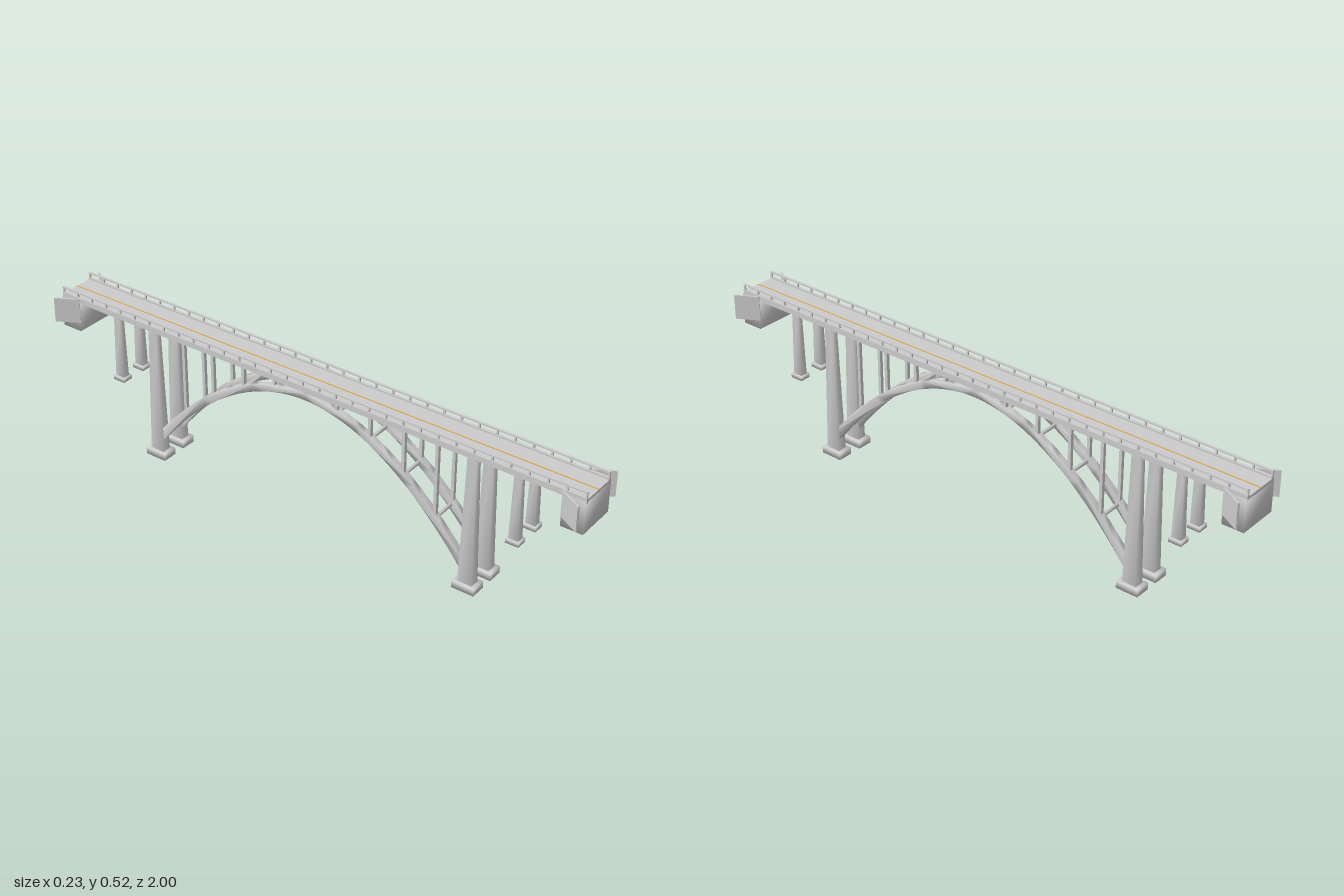
import * as THREE from 'three';
import { mergeVertices } from 'three/addons/utils/BufferGeometryUtils.js';

const grey = new THREE.MeshStandardMaterial({ color: 0xcccccc });
const yellow = new THREE.MeshStandardMaterial({ color: 0xd9a441 });
const DECK_BOTTOM = 0.487;
const RIB_X = 0.048;

// Share corners so that shading flows softly round the edges
function soften(geometry) {
  geometry.deleteAttribute('normal');
  geometry.deleteAttribute('uv');
  const welded = mergeVertices(geometry);
  welded.computeVertexNormals();
  return welded;
}

function add(parent, name, geometry, x = 0, y = 0, z = 0, material = grey) {
  const mesh = new THREE.Mesh(geometry, material);
  mesh.name = name;
  mesh.position.set(x, y, z);
  parent.add(mesh);
  return mesh;
}

// Box given by its bottom and top heights
function block(parent, name, w, d, y0, y1, x, z, soft = false, material = grey) {
  const g = new THREE.BoxGeometry(w, y1 - y0, d);
  return add(parent, name, soft ? soften(g) : g, x, (y0 + y1) / 2, z, material);
}

// Four-sided shaft narrowing towards the top
function taperedShaft(parent, name, bottom, top, y0, y1, x, z) {
  const g = new THREE.BoxGeometry(1, y1 - y0, 1);
  const p = g.attributes.position;
  for (let i = 0; i < p.count; i++) {
    const [w, d] = p.getY(i) > 0 ? top : bottom;
    p.setX(i, p.getX(i) * w);
    p.setZ(i, p.getZ(i) * d);
  }
  add(parent, name, soften(g), x, (y0 + y1) / 2, z);
}

const archY = (z) => 0.46 - 1.05 * z * z;

// Parabolic rib, a little deeper at the springings
function archRibGeometry() {
  const upper = [], lower = [], n = 48, end = 0.605;
  for (let i = 0; i <= n; i++) {
    const z = -end + (2 * end * i) / n;
    const slope = -2.1 * z;
    const len = Math.hypot(1, slope);
    const half = 0.011 + 0.004 * Math.abs(z / end);
    const nx = -slope / len, ny = 1 / len;
    upper.push(new THREE.Vector2(z + nx * half, archY(z) + ny * half));
    lower.push(new THREE.Vector2(z - nx * half, archY(z) - ny * half));
  }
  const width = 0.02;
  const g = new THREE.ExtrudeGeometry(new THREE.Shape([...upper, ...lower.reverse()]),
    { depth: width, bevelEnabled: false });
  g.translate(0, 0, -width / 2);
  g.rotateY(-Math.PI / 2);
  return soften(g);
}

function buildDeck() {
  const deck = new THREE.Group();
  deck.name = 'deck';
  block(deck, 'roadSlab', 0.132, 2, DECK_BOTTOM, 0.497, 0, 0);
  block(deck, 'centreLine', 0.004, 2, 0.497, 0.4978, 0, 0, false, yellow);
  for (const s of [-1, 1]) {
    block(deck, 'edgeBeam', 0.009, 2, 0.483, 0.503, s * 0.063, 0);
    block(deck, 'topRail', 0.008, 2, 0.518, 0.523, s * 0.063, 0);
    // Railing posts
    const posts = 33;
    for (let i = 0; i < posts; i++) {
      const z = -0.997 + (1.994 * i) / (posts - 1);
      block(deck, 'railPost', 0.005, 0.006, 0.502, 0.519, s * 0.063, z);
    }
  }
  return deck;
}

function buildArch() {
  const arch = new THREE.Group();
  arch.name = 'arch';
  const rib = archRibGeometry();
  for (const s of [-1, 1]) add(arch, 'archRib', rib, s * RIB_X);
  // Spandrel columns with struts between the ribs and floor beams above
  for (const a of [0.12, 0.245, 0.37, 0.49]) {
    for (const z of [-a, a]) {
      for (const s of [-1, 1]) {
        block(arch, 'spandrelColumn', 0.012, 0.011, archY(z), DECK_BOTTOM, s * RIB_X, z);
      }
      block(arch, 'ribStrut', RIB_X * 2, 0.009, archY(z) - 0.004, archY(z) + 0.005, 0, z, true);
      block(arch, 'floorBeam', 0.118, 0.011, 0.477, DECK_BOTTOM + 0.001, 0, z);
    }
  }
  return arch;
}

// Piers and abutment at one end of the bridge
function buildEnd(dir) {
  const end = new THREE.Group();
  end.name = dir > 0 ? 'frontSupports' : 'backSupports';
  for (const s of [-1, 1]) {
    block(end, 'mainFooting', 0.055, 0.08, 0, 0.025, s * RIB_X, dir * 0.615, true);
    taperedShaft(end, 'mainPier', [0.033, 0.052], [0.022, 0.032], 0.024, DECK_BOTTOM,
      s * RIB_X, dir * 0.615);
    block(end, 'approachFooting', 0.039, 0.046, 0.24, 0.255, s * RIB_X, dir * 0.77, true);
    taperedShaft(end, 'approachPier', [0.025, 0.034], [0.02, 0.024], 0.254, DECK_BOTTOM,
      s * RIB_X, dir * 0.77);
    // Thin wing wall flaring outwards
    const wing = block(end, 'wingWall', 0.006, 0.086, 0.412, 0.5, s * 0.09, dir * 0.962);
    wing.rotation.y = s * dir * Math.atan2(0.042, 0.074);
  }
  block(end, 'mainPierCap', 0.122, 0.03, 0.473, DECK_BOTTOM + 0.001, 0, dir * 0.615);
  block(end, 'approachPierCap', 0.122, 0.022, 0.477, DECK_BOTTOM + 0.001, 0, dir * 0.77);
  block(end, 'abutment', 0.144, 0.075, 0.38, 0.49, 0, dir * 0.9625, true);
  return end;
}

export function createModel() {
  const bridge = new THREE.Group();
  bridge.name = 'archBridge';
  bridge.add(buildDeck(), buildArch(), buildEnd(1), buildEnd(-1));
  return bridge;
}
